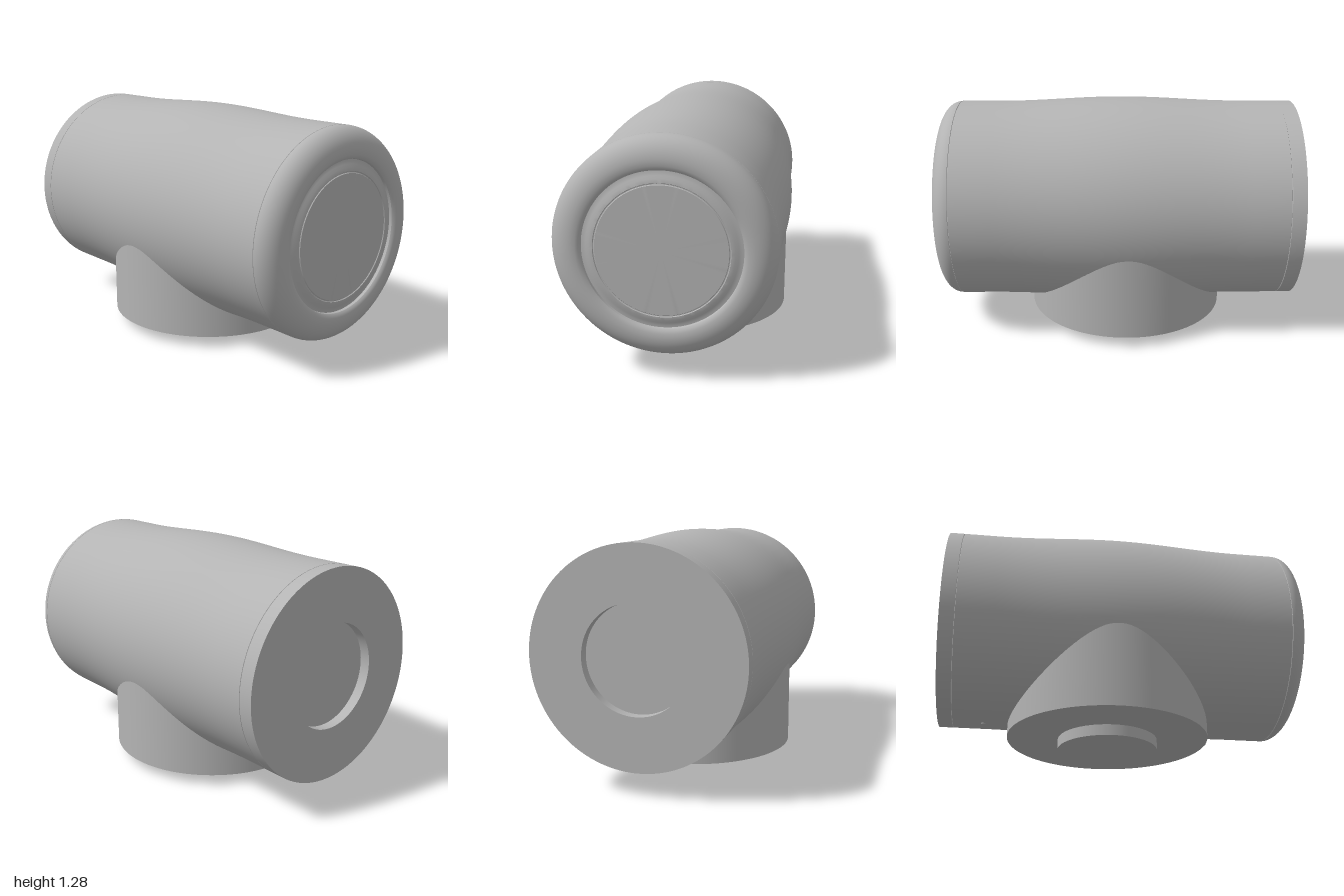
import * as THREE from 'three';
import { toCreasedNormals } from 'three/addons/utils/BufferGeometryUtils.js';

const AXIS_Y = 0.695; // height of the barrel axis
const POST_Z = -0.05; // the stand sits slightly behind the middle
const R = 0.565;

const bodyGrey = new THREE.MeshStandardMaterial({ color: 0xb4b4b4 });
bodyGrey.name = 'bodyGrey';

export function createModel() {
  const group = new THREE.Group();
  const add = (name, geometry, x, y, z) => {
    const mesh = new THREE.Mesh(geometry, bodyGrey);
    mesh.name = name;
    mesh.position.set(x, y, z);
    group.add(mesh);
    return mesh;
  };

  // Turn a (radius, z) profile, listed from back to front, around the z axis
  const turned = (profile) => {
    const points = profile.map(([r, z]) => new THREE.Vector2(r, z));
    const geometry = new THREE.LatheGeometry(points, 128).rotateX(Math.PI / 2);
    return toCreasedNormals(geometry, 0.5);
  };

  // Rear cap with a round recess
  add('rearCap', turned([[0, -0.945], [0.28, -0.945], [0.28, -1], [R, -1],
    [R, -0.922], [R - 0.004, -0.92]]), 0, AXIS_Y, 0);

  // Barrel with a gentle swelling in the middle
  const barrel = [[R - 0.004, -0.92], [R, -0.918]];
  for (let i = 0; i <= 32; i++) {
    const t = i / 32;
    barrel.push([R + 0.0125 * (1 - Math.cos(t * Math.PI * 2)), -0.72 + 1.4 * t]);
  }
  barrel.push([R, 0.898], [R - 0.003, 0.9]);
  add('barrel', turned(barrel), 0, AXIS_Y, 0);

  // Front cap: rounded edge, shallow groove and a flush centre disc
  const front = [[R - 0.003, 0.9]];
  for (let i = 0; i <= 14; i++) {
    const a = (i / 14) * Math.PI / 2;
    front.push([0.445 + 0.12 * Math.cos(a), 0.902 + 0.098 * Math.sin(a)]);
  }
  front.push([0.425, 0.998], [0.41, 0.993], [0.402, 0.985], [0.4, 0.97],
    [0.39, 0.971], [0.375, 0.975], [0.36, 0.982], [0.34, 0.986],
    [0.337, 0.982], [0.333, 0.982], [0.33, 0.986], [0, 0.986]);
  add('frontCap', turned(front), 0, AXIS_Y, 0);

  // Upright post running into the barrel, and its foot
  add('post', new THREE.CylinderGeometry(R, R, 0.54, 128), 0, 0.33, POST_Z);
  add('foot', new THREE.CylinderGeometry(0.28, 0.28, 0.08, 96), 0, 0.04, POST_Z);

  // Small index mark on the post and a pin under the barrel
  add('indexMark', new THREE.BoxGeometry(0.02, 0.045, 0.006), 0, 0.0825, POST_Z + R);
  add('pin', new THREE.CylinderGeometry(0.012, 0.012, 0.008, 16), 0, AXIS_Y - R, -0.75);

  return group;
}
